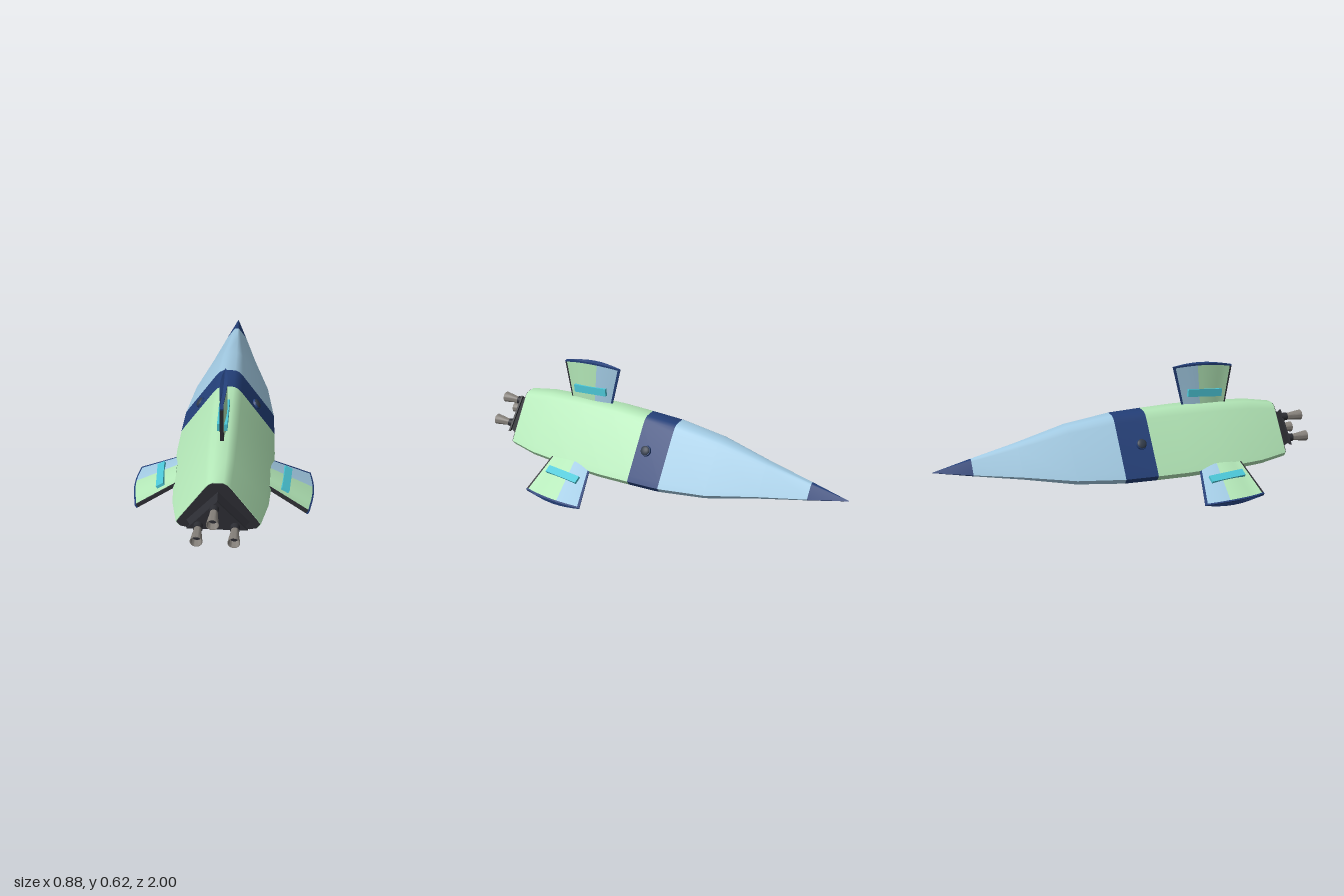
import * as THREE from 'three';
import { toCreasedNormals } from 'three/addons/utils/BufferGeometryUtils.js';

const GREEN = 0xb4e8b8, BLUE = 0xa4cde6, NAVY = 0x233f78, CYAN = 0x4cc8d8;
const BLACK = 0x2c2d33, METAL = 0x86817b, GLASS = 0x333d4c;

function mesh(name, geometry, color, parent, side = THREE.FrontSide) {
  const m = new THREE.Mesh(geometry, new THREE.MeshStandardMaterial({ color, side }));
  m.name = name;
  parent.add(m);
  return m;
}

// Skin over rings of [x, y, z], each counterclockwise seen from the last ring's end
function loft(rings, crease = 0.7) {
  const n = rings[0].length, pos = [];
  const tri = (a, b, c) => pos.push(...a, ...b, ...c);
  for (let i = 0; i < rings.length - 1; i++) {
    for (let j = 0; j < n; j++) {
      const k = (j + 1) % n;
      const a = rings[i][j], b = rings[i][k], c = rings[i + 1][k], d = rings[i + 1][j];
      tri(a, b, c);
      tri(a, c, d);
    }
  }
  const cap = (ring, flip) => {
    const mid = [0, 1, 2].map(q => ring.reduce((s, p) => s + p[q], 0) / n);
    ring.forEach((p, j) => {
      const next = ring[(j + 1) % n];
      flip ? tri(mid, next, p) : tri(mid, p, next);
    });
  };
  cap(rings[0], true);
  cap(rings[rings.length - 1], false);
  const g = new THREE.BufferGeometry();
  g.setAttribute('position', new THREE.Float32BufferAttribute(pos, 3));
  return toCreasedNormals(g, crease);
}

// Rounded triangular hull section: right half from bottom to top, then mirrored
const half = [[0.18, -0.117], [0.22, -0.108], [0.24, -0.08], [0.225, -0.055],
  [0.07, 0.168], [0.052, 0.188], [0.03, 0.2]];
const SECTION = [...half, ...half.map(([x, y]) => [-x, y]).reverse()];
const TRIANGLE = [[0, 0.115], [-0.145, -0.05], [0.145, -0.05]];
const slices = (shape, stations) =>
  loft(stations.map(([z, s]) => shape.map(([x, y]) => [x * s, y * s, z])));

// Fin surface: u runs from leading to trailing edge, v from root to tip
function finPoint(u, v, side) {
  const thick = 0.002 + 0.015 * Math.sin(Math.PI * Math.min(u, 0.85));
  const height = 0.22 + 0.012 * Math.sin(Math.PI * u) - 0.015 * u * u;
  const lead = 0.305 - 0.055 * v, trail = 0.545 + 0.035 * v;
  return [side * thick, height * v, lead + (trail - lead) * u];
}

function finPart(u0, u1, v0, v1) {
  const steps = 8, rings = [];
  for (const v of [v0, (v0 + v1) / 2, v1]) {
    const ring = [];
    for (let i = 0; i <= steps; i++) ring.push(finPoint(u1 + (u0 - u1) * i / steps, v, 1));
    for (let i = 0; i <= steps; i++) ring.push(finPoint(u0 + (u1 - u0) * i / steps, v, -1));
    rings.push(ring);
  }
  return loft(rings);
}

function createFin(name, x, y, angle) {
  const fin = new THREE.Group();
  fin.name = name;
  mesh('finLeadingEdge', finPart(0, 0.04, -0.08, 0.96), NAVY, fin);
  mesh('finFrontPanel', finPart(0.04, 0.4, -0.08, 0.96), BLUE, fin);
  mesh('finRearPanel', finPart(0.4, 0.97, -0.08, 0.96), GREEN, fin);
  mesh('finTrailingEdge', finPart(0.97, 1, -0.08, 0.96), BLACK, fin);
  mesh('finTip', finPart(0, 1, 0.96, 1), NAVY, fin);
  const strip = mesh('finStrip', new THREE.BoxGeometry(0.048, 0.04, 0.19), CYAN, fin);
  strip.position.set(0, 0.072, 0.425);
  strip.rotation.x = 0.08;
  fin.position.set(x, y, 0);
  fin.rotation.z = angle;
  return fin;
}

function createEngine(x, y) {
  const engine = new THREE.Group();
  engine.name = 'engine';
  const neck = mesh('engineNeck', new THREE.CylinderGeometry(0.021, 0.021, 0.035, 24), BLACK, engine);
  neck.position.y = 0.013;
  const bell = [[0.017, 0.025], [0.019, 0.05], [0.024, 0.085], [0.028, 0.115],
    [0.025, 0.115], [0.021, 0.085], [0.016, 0.05]].map(p => new THREE.Vector2(...p));
  mesh('engineBell', toCreasedNormals(new THREE.LatheGeometry(bell, 28), 0.7), METAL, engine, THREE.DoubleSide);
  const throat = mesh('engineThroat', new THREE.CircleGeometry(0.021, 24), BLACK, engine);
  throat.rotation.x = -Math.PI / 2;
  throat.position.y = 0.08;
  engine.rotation.x = Math.PI / 2;
  engine.position.set(x, y, 0.885);
  return engine;
}

function createWindow(x, y, angle) {
  const win = new THREE.Group();
  win.name = 'window';
  mesh('windowFrame', new THREE.CylinderGeometry(0.027, 0.029, 0.014, 28), NAVY, win);
  const dome = mesh('windowGlass', new THREE.SphereGeometry(0.025, 24, 12), GLASS, win);
  dome.scale.y = 0.4;
  dome.position.y = 0.005;
  win.position.set(x, y, 0.025);
  win.rotation.z = angle;
  return win;
}

export function createModel() {
  const ship = new THREE.Group();
  ship.name = 'rocket';
  ship.position.y = 0.205;

  // Hull, nose to tail
  mesh('noseTip', slices(SECTION, [[-1, 0.004], [-0.81, 0.23]]), NAVY, ship);
  mesh('noseCone', slices(SECTION, [[-0.81, 0.23], [-0.58, 0.49], [-0.33, 0.81], [-0.09, 0.965]]), BLUE, ship);
  mesh('hullBand', slices(SECTION, [[-0.09, 0.965], [0.08, 0.995]]), NAVY, ship);
  mesh('hull', slices(SECTION, [[0.08, 0.995], [0.25, 1.015], [0.45, 0.995], [0.67, 0.93], [0.82, 0.8]]), GREEN, ship);

  // Tail plate and engine mount
  mesh('tailPlate', slices(SECTION, [[0.8, 0.79], [0.824, 0.785]]), BLACK, ship);
  mesh('engineMount', slices(TRIANGLE, [[0.82, 1], [0.878, 0.82]]), BLACK, ship);
  mesh('mountPlate', slices(TRIANGLE, [[0.878, 0.94], [0.888, 0.94]]), BLACK, ship);
  for (const [x, y] of [[-0.012, 0.07], [-0.084, -0.026], [0.08, -0.026]]) ship.add(createEngine(x, y));

  // Portholes on each face of the band
  ship.add(createWindow(0.143, 0.066, -0.967), createWindow(-0.143, 0.066, 0.967),
    createWindow(0, -0.116, Math.PI));

  // Three fins on the hull corners
  const turn = Math.PI * 2 / 3;
  ship.add(createFin('topFin', 0, 0.185, 0), createFin('leftFin', 0.235, -0.08, -turn),
    createFin('rightFin', -0.235, -0.08, turn));

  const model = new THREE.Group();
  model.add(ship);
  return model;
}
